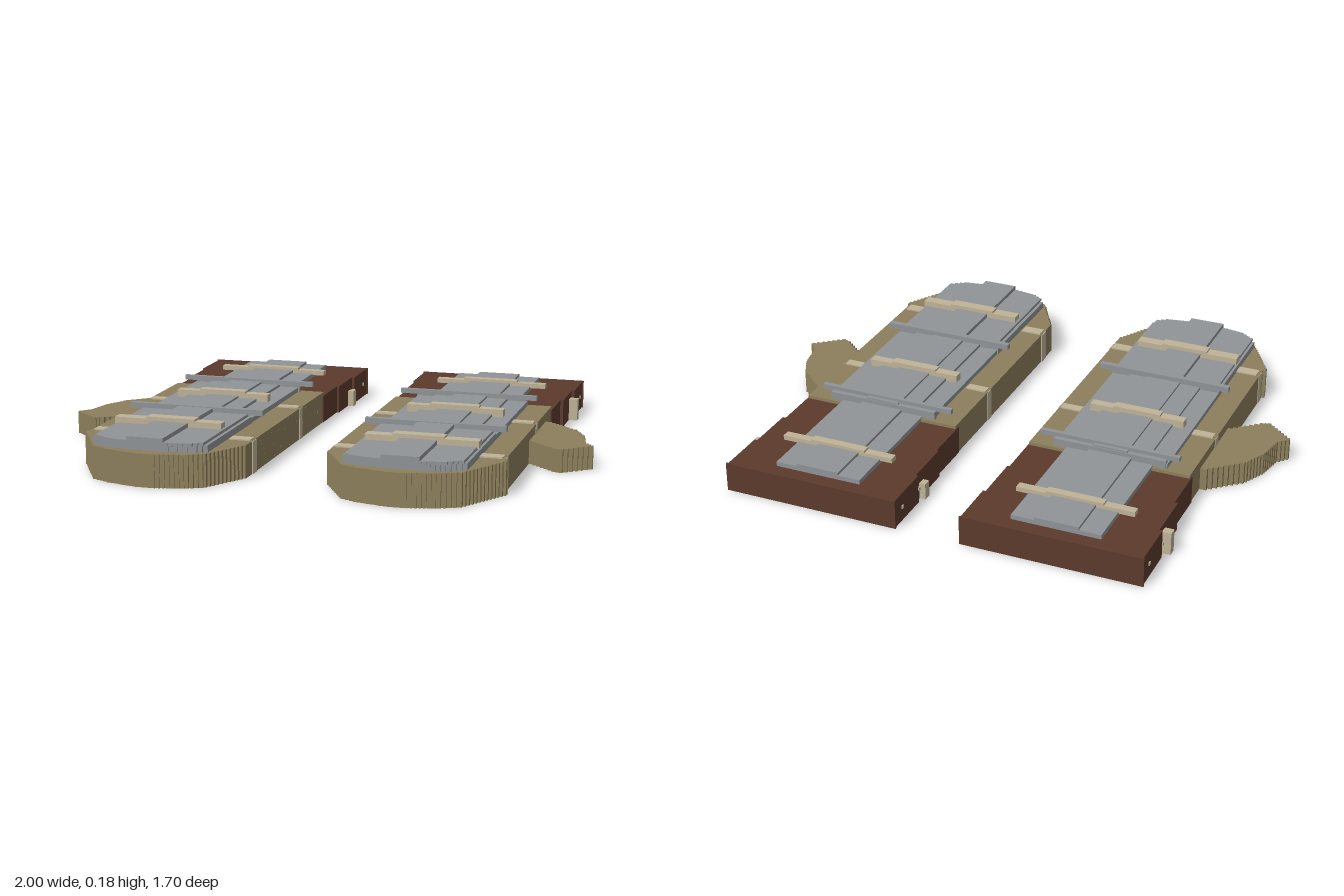
import * as THREE from 'three';

const mat = (name, color) => {
  const m = new THREE.MeshStandardMaterial({ color });
  m.name = name;
  return m;
};

export function createModel() {
  const khaki = mat('khaki cloth', 0x8d7f5c);
  const brown = mat('brown leather', 0x5c3a2c);
  const grey = mat('grey metal', 0x909497);
  const cream = mat('cream strap', 0xbfb397);

  // Turns a polyline of [x, z] points into a staircase outline
  const stepped = (points, step = 0.016) => {
    const out = [];
    points.forEach(([x0, z0], i) => {
      const [x1, z1] = points[(i + 1) % points.length];
      const dx = x1 - x0, dz = z1 - z0;
      out.push([x0, z0]);
      if (Math.abs(dx) < 0.001 || Math.abs(dz) < 0.001) return;
      const n = Math.max(1, Math.round(Math.max(Math.abs(dx), Math.abs(dz)) / step));
      for (let k = 1; k <= n; k++) {
        out.push([x0 + dx * k / n, z0 + dz * (k - 1) / n]);
        if (k < n) out.push([x0 + dx * k / n, z0 + dz * k / n]);
      }
    });
    return out;
  };

  const makeMitten = (side) => {
    const mitten = new THREE.Group();
    mitten.name = side > 0 ? 'leftMitten' : 'rightMitten';
    const add = (name, geometry, material) => {
      const mesh = new THREE.Mesh(geometry, material);
      mesh.name = name;
      mitten.add(mesh);
    };
    // Box given by its limits on each axis
    const box = (name, material, x0, x1, y0, y1, z0, z1) => {
      const g = new THREE.BoxGeometry(x1 - x0, y1 - y0, z1 - z0);
      g.translate(side * (x0 + x1) / 2, (y0 + y1) / 2, (z0 + z1) / 2);
      add(name, g, material);
    };
    // Upright slab with a staircase outline
    const slab = (name, material, points, y0, y1) => {
      const shape = new THREE.Shape(stepped(points).map(([x, z]) => new THREE.Vector2(side * x, -z)));
      const g = new THREE.ExtrudeGeometry(shape, { depth: y1 - y0, bevelEnabled: false });
      g.rotateX(-Math.PI / 2).translate(0, y0, 0);
      add(name, g, material);
    };

    // Cloth hand and thumb
    slab('hand', khaki, [
      [0.148, -0.3], [0.765, -0.3], [0.765, 0.58], [0.778, 0.58], [0.775, 0.6], [0.665, 0.79],
      [0.6, 0.82], [0.49, 0.848], [0.425, 0.848], [0.31, 0.82], [0.25, 0.79], [0.15, 0.62]
    ], 0, 0.12);
    slab('thumb', khaki, [
      [0.75, -0.18], [0.775, -0.18], [0.9, -0.07], [0.945, 0.02], [0.965, 0.12], [1, 0.16],
      [0.905, 0.24], [0.88, 0.23], [0.765, 0.13], [0.75, 0.13]
    ], 0, 0.086);

    // Leather cuff, widening in steps towards the opening
    box('cuffFront', brown, 0.144, 0.769, 0.001, 0.108, -0.47, -0.28);
    box('cuffMiddle', brown, 0.136, 0.781, 0, 0.108, -0.66, -0.47);
    box('cuffEnd', brown, 0.126, 0.792, 0, 0.108, -0.848, -0.66);
    box('cuffRim', brown, 0.122, 0.797, 0, 0.11, -0.855, -0.848);

    // Metal planks: [x0, x1, top], rising towards the middle
    const handPlanks = [[0.245, 0.675, 0.138], [0.32, 0.6, 0.148], [0.392, 0.522, 0.156]];
    for (const [x0, x1, top] of handPlanks) box('handPlank', grey, x0, x1, 0.115, top, -0.285, 0.3);
    const tip = (x0, x1, zSide, zEnd, y0, y1) => slab('fingerPlank', grey, [
      [x0, 0.3], [x1, 0.3], [x1, zSide], [x1 - 0.05, (zSide + zEnd) / 2 + 0.008], [x1 - 0.15, zEnd],
      [x0 + 0.15, zEnd], [x0 + 0.05, (zSide + zEnd) / 2 + 0.008], [x0, zSide]
    ], y0, y1);
    tip(0.242, 0.675, 0.755, 0.8, 0.115, 0.145);
    tip(0.255, 0.665, 0.765, 0.815, 0.145, 0.155);
    box('fingerRidge', grey, 0.39, 0.525, 0.15, 0.17, 0.3, 0.815);
    box('cuffPlank', grey, 0.29, 0.622, 0.1, 0.125, -0.795, -0.285);
    box('cuffRidge', grey, 0.375, 0.54, 0.12, 0.135, -0.795, -0.285);

    // Metal cross bars
    box('knuckleBar', grey, 0.195, 0.715, 0.152, 0.173, 0.29, 0.312);
    box('wristBar', grey, 0.18, 0.715, 0.147, 0.165, -0.27, -0.252);
    box('wristBarBack', grey, 0.24, 0.67, 0.12, 0.15, -0.288, -0.27);

    // Straps: each has a raised middle over a wider band
    const strap = (z, w, x0, x1, c0, c1, y0, top) => {
      box('strapBand', cream, x0, x1, y0, top - 0.008, z - w, z + w);
      box('strapMiddle', cream, c0, c1, top - 0.008, top, z - w, z + w);
    };
    strap(0.545, 0.022, 0.265, 0.672, 0.365, 0.55, 0.15, 0.184);
    strap(0.002, 0.018, 0.275, 0.642, 0.365, 0.55, 0.138, 0.174);
    strap(-0.62, 0.016, 0.242, 0.682, 0.352, 0.568, 0.12, 0.146);

    // Strap ends lying on the cloth and running down the sides
    for (const [z, w] of [[0.545, 0.022], [0.002, 0.018]]) {
      for (const [x0, x1] of [[0.155, 0.235], [0.675, 0.755]])
        box('strapEnd', cream, x0, x1, 0.119, 0.125, z - w, z + w);
      box('outerSideStrap', cream, 0.76, 0.767, 0, 0.119, z - w, z + w);
      box('innerSideStrap', cream, 0.146, 0.153, 0, 0.119, z - w, z + w);
    }

    // Cuff buckles and studs
    box('outerBuckle', cream, 0.775, 0.815, 0, 0.085, -0.635, -0.603);
    box('innerBuckle', cream, 0.112, 0.14, 0, 0.062, -0.635, -0.603);
    for (const z of [-0.657, -0.79]) {
      box('outerStud', cream, 0.775, 0.796, 0.048, 0.06, z - 0.006, z + 0.006);
      box('innerStud', cream, 0.122, 0.14, 0.048, 0.06, z - 0.006, z + 0.006);
    }
    return mitten;
  };

  const model = new THREE.Group();
  model.name = 'armouredMittens';
  model.add(makeMitten(1), makeMitten(-1));
  return model;
}
